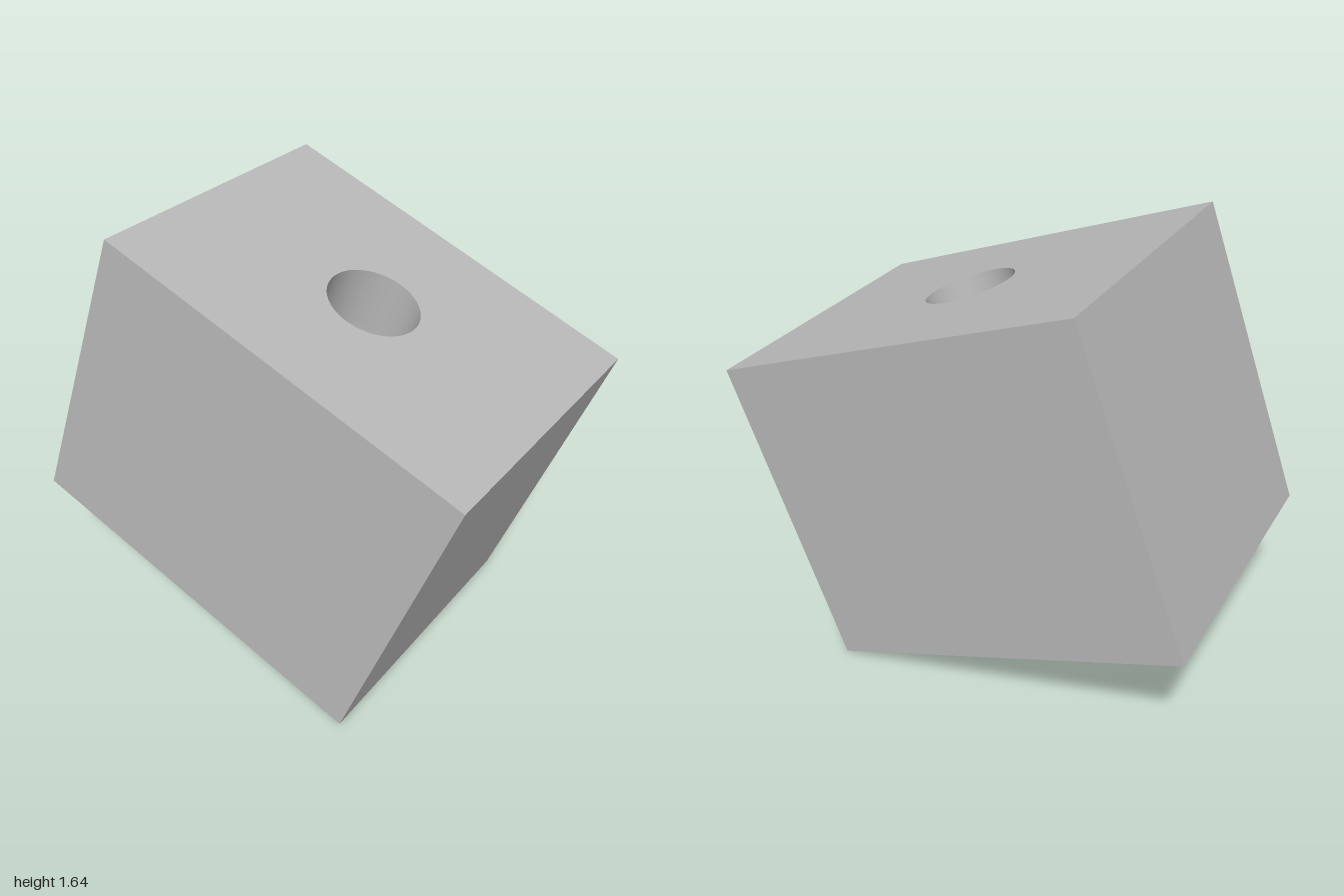
import * as THREE from 'three';

// Tilted hollow block: open underneath, round hole through its thick top.
const W = 1.103, H = 1.189, D = 1.437; // outer size
const WALL = 0.12, TOP = 0.24, R = 0.166;

function rectangle(w, d, Type = THREE.Shape) {
  const x = w / 2, z = d / 2;
  return new Type([[-x, -z], [x, -z], [x, z], [-x, z]].map(p => new THREE.Vector2(...p)));
}

function circle() {
  return new THREE.Path().absarc(0, 0, R, 0, Math.PI * 2, true);
}

// Flat horizontal face with an opening, facing up or down
function plate(outline, opening, y, up) {
  outline.holes.push(opening);
  return new THREE.ShapeGeometry(outline, 32)
    .rotateX(up ? -Math.PI / 2 : Math.PI / 2).translate(0, y, 0);
}

// The four sides of a box, facing outward or inward
function sides(w, h, d, y, inward) {
  const box = new THREE.BoxGeometry(w, h, d);
  const index = Array.from(box.index.array);
  box.setIndex([...index.slice(0, 12), ...index.slice(24)]);
  if (inward) box.scale(-1, 1, 1);
  const geometry = box.toNonIndexed().translate(0, y, 0);
  geometry.clearGroups();
  geometry.computeVertexNormals();
  return geometry;
}

export function createModel() {
  const model = new THREE.Group();
  const block = new THREE.Group();
  block.name = 'hollowBlock';
  model.add(block);

  const grey = new THREE.MeshStandardMaterial({ color: 0xb8b8b8 });
  grey.name = 'grey';
  const add = (name, geometry) => {
    const mesh = new THREE.Mesh(geometry, grey);
    mesh.name = name;
    block.add(mesh);
  };

  const iw = W - 2 * WALL, id = D - 2 * WALL, ceiling = H / 2 - TOP;

  // Outer skin
  add('outerWalls', sides(W, H, D, 0, false));
  add('topFace', plate(rectangle(W, D), circle(), H / 2, true));
  add('bottomRim', plate(rectangle(W, D), rectangle(iw, id, THREE.Path), -H / 2, false));

  // Cavity and hole
  add('cavityWalls', sides(iw, H - TOP, id, -TOP / 2, true));
  add('cavityCeiling', plate(rectangle(iw, id), circle(), ceiling, false));
  add('holeWall', new THREE.LatheGeometry(
    [new THREE.Vector2(R, H / 2), new THREE.Vector2(R, ceiling)], 64));

  // Tilt the block so that its lowest corner touches the ground
  const across = new THREE.Vector3(1.042, -0.053, -0.365).normalize();
  const upward = new THREE.Vector3(0.18, 1.123, 0.345);
  const depth = new THREE.Vector3().crossVectors(across, upward).normalize();
  upward.crossVectors(depth, across);
  block.quaternion.setFromRotationMatrix(new THREE.Matrix4().makeBasis(across, upward, depth));
  block.position.y = 0.822;
  return model;
}
